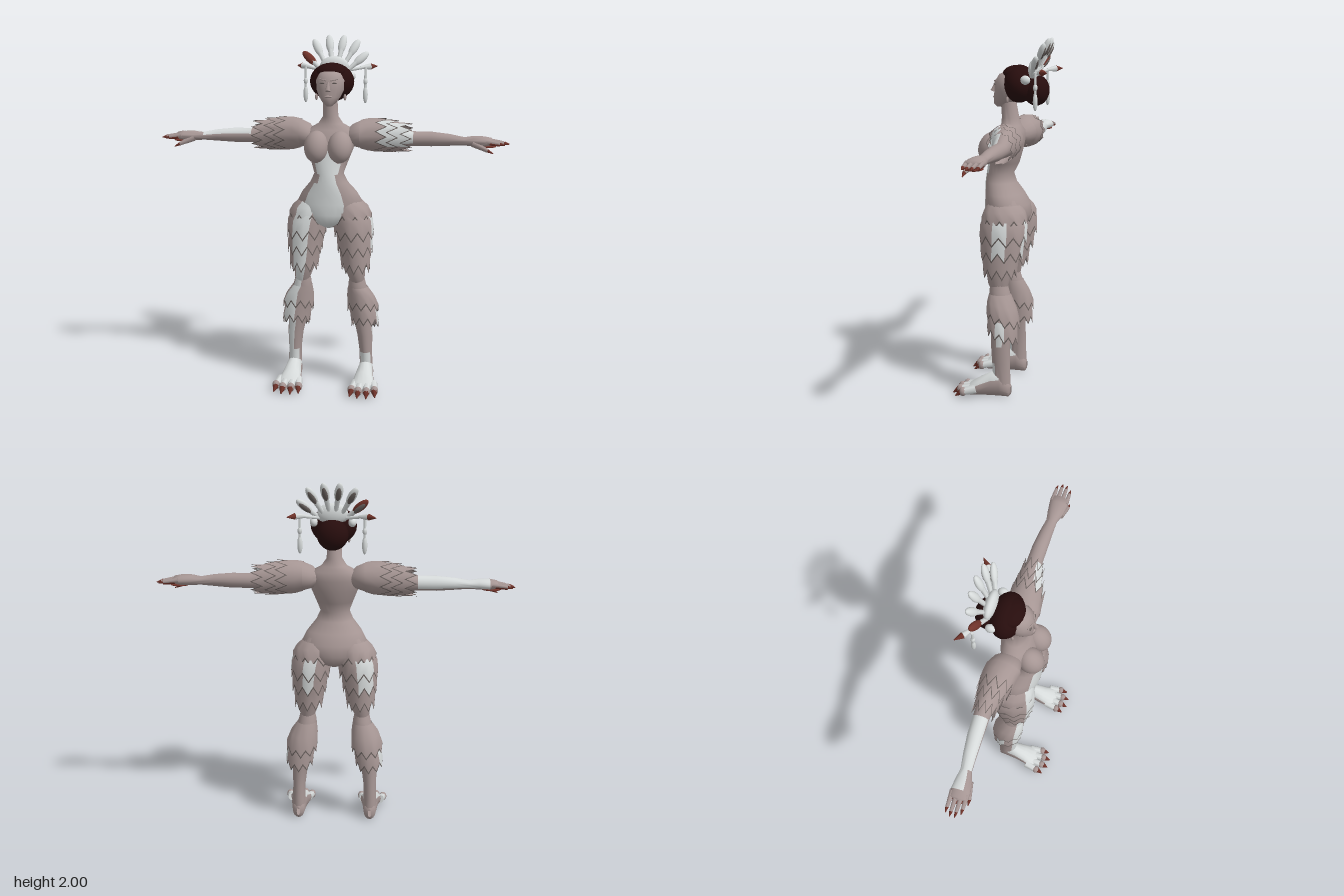
import * as THREE from 'three';
import { toCreasedNormals } from 'three/addons/utils/BufferGeometryUtils.js';

const mat = (name, color) => new THREE.MeshStandardMaterial({ name, color, side: THREE.DoubleSide });

export function createModel() {
  const model = new THREE.Group();
  model.name = 'featheredDancer';
  const skin = mat('taupeSkin', 0xa69694), white = mat('paleFeather', 0xd6dada);
  const trim = mat('darkFeatherEdge', 0x69615e), hair = mat('darkHair', 0x270d0d), claw = mat('redClaw', 0x70332a);
  const palette = [skin, white, trim];

  const add = (name, geo, material, parent = model) => {
    const m = new THREE.Mesh(geo, material);
    m.name = name;
    parent.add(m);
    return m;
  };

  // Skin oval rings [t, c1, c2, r1, r2, zigzag, backDrop] along an axis; pick() chooses a palette entry per face
  const place = {
    y: (t, a, b) => [a, t, b],
    x: (t, a, b) => [t, a, b],
    z: (t, a, b) => [a, b, t],
  };
  function loft(name, axis, rings, n, s = 1, pick = () => 0) {
    const pos = [], faces = [[], [], []], dir = axis === 'y' ? -1 : 1;
    for (const [t, c1, c2, r1, r2, zig = 0, drop = 0] of rings) {
      for (let j = 0; j < n; j++) {
        const a = j / n * Math.PI * 2, shift = zig * (j % 2) - drop * Math.sin(a);
        const [x, y, z] = place[axis](t + dir * shift, c1 + r1 * Math.cos(a), c2 + r2 * Math.sin(a));
        pos.push(x * s, y, z);
      }
    }
    for (let i = 0; i < rings.length - 1; i++) {
      const mid = (rings[i][0] + rings[i + 1][0]) / 2;
      for (let j = 0; j < n; j++) {
        const k = (j + 1) % n, a = i * n + j, b = i * n + k, c = a + n, d = b + n;
        const f = faces[pick(mid, (j + 0.5) / n * 360, s, i)];
        if (s > 0) f.push(a, b, c, b, d, c);
        else f.push(a, c, b, b, c, d);
      }
    }
    const geo = new THREE.BufferGeometry();
    geo.setAttribute('position', new THREE.Float32BufferAttribute(pos, 3));
    geo.setIndex(faces.flat());
    let start = 0;
    faces.forEach((f, i) => { if (f.length) geo.addGroup(start, f.length, i); start += f.length; });
    return add(name, toCreasedNormals(geo, 1), palette);
  }

  // Section of a ring profile at t
  function at(profile, t) {
    for (let i = 0; i < profile.length - 1; i++) {
      const p = profile[i], q = profile[i + 1], u = (t - p[0]) / (q[0] - p[0]);
      if (u >= 0 && u <= 1) return p.map((v, k) => v + (q[k] - v) * u);
    }
    return profile[profile.length - 1];
  }

  // Flared collar of pointed feathers with a dark edge
  function tier(name, axis, profile, t0, t1, flare, zig, drop, s, pick) {
    const leg = axis === 'y', out = leg ? flare * 0.5 : 0;
    const ring = (t, f, z) => {
      const [, c1, c2, r1, r2] = at(profile, t);
      return [t, c1 + out * f, c2 - out * f * 0.6, r1 + 0.003 + flare * f, r2 + 0.003 + flare * f * (leg ? 1 : 0.3), z, drop * f];
    };
    const hem = ring(t1, 1, zig), edge = [...hem];
    edge[0] += (leg ? -1 : 1) * 0.011;
    loft(name, axis, [ring(t0, 0, 0), ring((t0 + t1) / 2, 0.65, 0), hem, edge], 20, s,
      (t, deg, side, row) => row === 2 ? 2 : pick(t, deg, side));
  }

  const ball = (name, p, r, material, parent) => {
    const m = add(name, new THREE.SphereGeometry(1, 20, 14), material, parent);
    m.position.set(...p);
    m.scale.set(...r);
    return m;
  };
  // Tapered rod between two points
  const rod = (name, from, to, r0, r1, material, parent) => {
    const a = new THREE.Vector3(...from), v = new THREE.Vector3(...to).sub(a);
    const m = add(name, new THREE.CylinderGeometry(r1, r0, v.length(), 7), material, parent);
    m.position.copy(a).addScaledVector(v, 0.5);
    m.quaternion.setFromUnitVectors(new THREE.Vector3(0, 1, 0), v.normalize());
    return m;
  };

  // Torso and neck, with a pale belly reaching over the right hip
  const bellyPaint = (t, deg) => {
    if (t > 1.4) return 0;
    if (t > 1.3) return Math.abs(deg - 90) < 31 ? 1 : 0;
    if (t > 1.23) return Math.abs(deg - 90) < 46 ? 1 : 0;
    return deg > 58 && deg < (t < 1.18 ? 138 : 122) ? 1 : 0;
  };
  loft('torso', 'y', [
    [1.65, 0, 0, .04, .042], [1.56, 0, -.01, .043, .049], [1.52, 0, -.015, .07, .057],
    [1.49, 0, -.015, .125, .075], [1.44, 0, 0, .148, .09], [1.38, 0, .01, .13, .088],
    [1.31, 0, .028, .103, .087], [1.25, 0, .048, .082, .077], [1.2, 0, .043, .105, .088],
    [1.14, 0, .022, .155, .108], [1.08, 0, .005, .187, .125], [1.02, 0, 0, .18, .13],
    [.97, 0, .005, .11, .115], [.94, 0, .015, .03, .06],
  ], 24, 1, bellyPaint);

  // Head and face
  loft('head', 'y', [
    [1.82, 0, -.02, .03, .03], [1.8, 0, -.005, .06, .058], [1.76, 0, 0, .08, .078], [1.71, 0, 0, .077, .08],
    [1.67, 0, .015, .06, .07], [1.64, 0, .03, .038, .056], [1.62, 0, .038, .014, .03],
  ], 20);
  rod('nose', [0, 1.755, .073], [0, 1.706, .09], .006, .015, skin);
  ball('lips', [0, 1.675, .08], [.022, .007, .009], skin);

  // Hair swept up and back into a bun
  ball('hairCap', [0, 1.748, -.06], [.125, .104, .088], hair);
  ball('hairCrown', [0, 1.8, -.045], [.088, .05, .078], hair);
  ball('hairBun', [0, 1.715, -.155], [.085, .085, .073], hair);

  const thigh = [
    [1.14, .08, .01, .06, .07], [1.05, .108, 0, .098, .108], [.98, .125, 0, .103, .123], [.9, .135, .005, .092, .115],
    [.8, .14, .015, .078, .095], [.7, .147, .022, .058, .07], [.64, .157, .022, .044, .057], [.62, .157, .02, .038, .048],
  ];
  const calf = [
    [.67, .157, .02, .036, .045], [.61, .157, .017, .05, .056], [.5, .175, -.005, .067, .07], [.4, .19, -.005, .055, .062],
    [.3, .203, 0, .044, .054], [.2, .208, -.005, .036, .052], [.13, .21, -.008, .037, .05], [.06, .21, -.01, .04, .05],
  ];
  const arm = [
    [.09, 1.45, -.02, .03, .04], [.12, 1.455, -.022, .06, .075], [.17, 1.46, -.03, .078, .09], [.24, 1.457, -.04, .077, .085],
    [.34, 1.447, -.052, .062, .055], [.46, 1.437, -.06, .041, .043], [.56, 1.437, -.058, .041, .042],
    [.66, 1.435, -.052, .033, .036], [.74, 1.43, -.045, .023, .03], [.79, 1.432, -.04, .029, .043],
    [.85, 1.43, -.038, .03, .052], [.89, 1.432, -.038, .02, .046], [.9, 1.432, -.038, .004, .01],
  ];
  const foot = [
    [-.063, .21, .045, .01, .025], [-.05, .21, .05, .034, .048], [0, .21, .078, .044, .076], [.05, .21, .073, .048, .071],
    [.11, .21, .056, .058, .054], [.165, .212, .038, .07, .036], [.19, .213, .032, .05, .02],
  ];
  // Pale patches: a front strip on the right leg, and single feathers on the outside and back
  const thighPaint = (t, deg, s) => {
    const high = t > .86 && t < 1.03;
    if (s < 0) return (deg > 46 && deg < 112) || (high && deg > 268 && deg < 325) ? 1 : 0;
    return high && (deg < 27 || deg > 342 || (deg > 250 && deg < 288)) ? 1 : 0;
  };
  const calfPaint = (t, deg, s) => {
    if (t < .2 && deg > 30 && deg < 150) return 1;
    const low = t < .48 && t > .34;
    if (s < 0) return (deg > 36 && deg < 85) || (low && deg > 315) ? 1 : 0;
    return low && (deg < 20 || deg > 340) ? 1 : 0;
  };
  const armPaint = (t, deg, s) => s > 0 ? (t > .26 && t < .47 && deg > 25 && deg < 135 ? 1 : 0)
    : (t > .4 && t < .87 && (deg > 225 || deg < (t < .74 ? 72 : 20)) ? 1 : 0);

  for (const s of [1, -1]) {
    const side = s > 0 ? 'left' : 'right';
    const P = (x, y, z) => [x * s, y, z];

    ball(side + 'Breast', P(.066, 1.4, .085), [.068, .09, .07], skin).rotation.x = -.4;
    ball(side + 'Eye', P(.032, 1.748, .071), [.016, .004, .006], trim);
    rod(side + 'Brow', P(.012, 1.763, .076), P(.052, 1.77, .06), .005, .003, skin);
    ball(side + 'Earring', P(.08, 1.665, -.01), [.008, .018, .008], skin);

    // Leg with feather tiers
    loft(side + 'Thigh', 'y', thigh, 24, s, thighPaint);
    loft(side + 'Calf', 'y', calf, 20, s, calfPaint);
    [[1.09, 1.02], [1.03, .93], [.95, .84], [.85, .74]].forEach(([a, b], i) =>
      tier(`${side}ThighFeathers${i + 1}`, 'y', thigh, a, b, .012, .05, 0, s, thighPaint));
    [[.59, .48], [.51, .39]].forEach(([a, b], i) =>
      tier(`${side}CalfFeathers${i + 1}`, 'y', calf, a, b, .022, .04, .03, s, calfPaint));

    // Foot, toes and claws
    loft(side + 'Foot', 'z', foot, 16, s, (t, deg) => t > 0 && deg > 25 && deg < 155 ? 1 : 0);
    [[.152, .205], [.193, .225], [.24, .225], [.283, .2]].forEach(([x, z]) => {
      const tip = P(x, .036, z);
      rod(side + 'Toe', P(.215 + (x - .215) * .75, .05, .13), tip, .026, .02, white);
      ball(side + 'ToeKnuckle', tip, [.022, .026, .021], skin);
      rod(side + 'ToeClaw', P(x, .034, z + .008), P(x + (x - .215) * .1, .01, z + .042), .019, .003, claw);
    });

    // Arm with shoulder feathers
    loft(side + 'Arm', 'x', arm, 20, s, armPaint);
    [[.17, .25, .016], [.21, .31, .022], [.27, .385, .024]].forEach(([a, b, f], i) =>
      tier(`${side}ShoulderFeathers${i + 1}`, 'x', arm, a, b, f, .06, 0, s, armPaint));

    // Palm, fingers with red pads, thumb and claws
    ball(side + 'Palm', P(.86, 1.405, -.038), [.055, .008, .042], claw);
    for (let i = 0; i < 4; i++) {
      const z = -.078 + i * .026, end = [.945, .96, .957, .935][i];
      rod(side + 'Finger', P(.86, 1.435, z), P(end, 1.424, z), .014, .009, skin);
      rod(side + 'FingerPad', P(.88, 1.427, z), P(end, 1.419, z), .012, .0085, claw);
      rod(side + 'FingerClaw', P(end, 1.424, z), P(end + .027, 1.418, z), .009, .002, claw);
    }
    rod(side + 'Thumb', P(.79, 1.422, -.01), P(.87, 1.388, .012), .019, .011, skin);
    rod(side + 'ThumbClaw', P(.87, 1.388, .012), P(.9, 1.372, .014), .01, .002, claw);

    // Side hair stick with a hanging pendant
    rod(side + 'HairStick', P(.05, 1.8, -.14), P(.17, 1.82, -.2), .009, .009, white);
    rod(side + 'StickFeather', P(.14, 1.817, -.185), P(.195, 1.822, -.225), .008, .018, white);
    rod(side + 'StickFeatherTip', P(.195, 1.822, -.225), P(.232, 1.822, -.258), .018, .002, claw);
    rod(side + 'PendantCord', P(.172, 1.82, -.185), P(.172, 1.7, -.185), .007, .008, white);
    ball(side + 'PendantDrop', P(.172, 1.665, -.185), [.014, .048, .013], white);
    ball(side + 'PendantBead', P(.172, 1.74, -.185), [.012, .02, .012], white);
    ball(side + 'HairFlower', P(.103, 1.775, -.115), [.022, .025, .028], white);
  }

  // Crest: pale dome and a fan of feathers leaning back
  ball('crestDome', [0, 1.825, -.145], [.083, .058, .032], white);
  const fan = new THREE.Group();
  fan.name = 'crestFan';
  fan.position.set(0, 1.74, -.115);
  fan.rotation.x = -.44;
  model.add(fan);
  [-46, -27, -9, 9, 27, 46].forEach((deg, i) => {
    const feather = new THREE.Group();
    feather.name = 'crestFeather' + (i + 1);
    feather.rotation.z = -deg * Math.PI / 180;
    fan.add(feather);
    const length = Math.abs(deg) > 40 ? .26 : .287;
    rod('quill', [0, .08, 0], [0, length - .07, 0], .01, .016, white, feather);
    ball('vane', [0, length - .055, 0], [.023, .056, .018], i ? white : claw, feather);
    ball('vaneBack', [0, length - .06, -.011], [.015, .042, .01], trim, feather);
  });
  return model;
}
